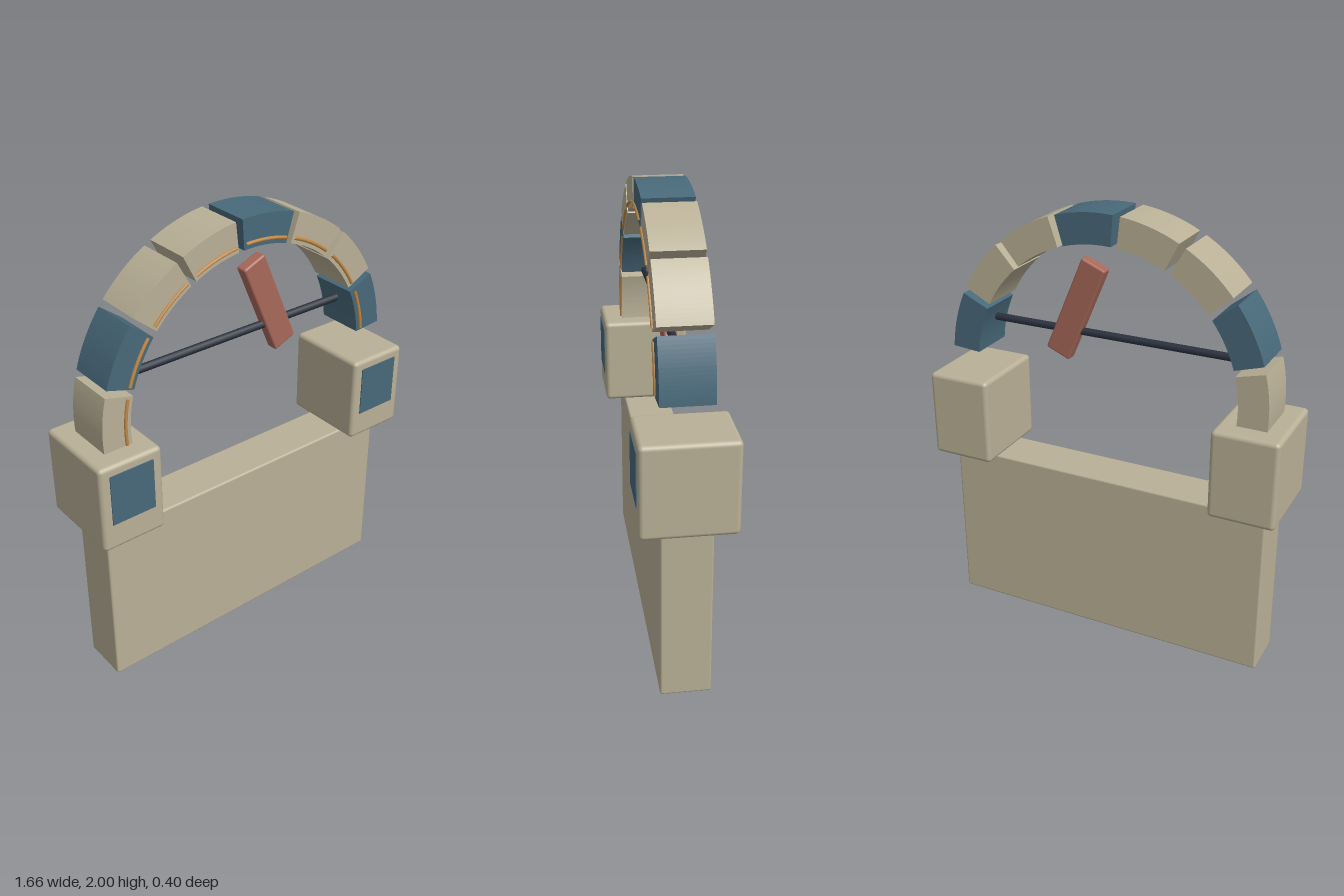
import * as THREE from 'three';
import { RoundedBoxGeometry } from 'three/addons/geometries/RoundedBoxGeometry.js';

const paint = (name, color) => {
  const m = new THREE.MeshStandardMaterial({ color });
  m.name = name;
  return m;
};

export function createModel() {
  const stone = paint('sandstone', 0xb9b096);
  const blue = paint('slate blue', 0x48697a);
  const red = paint('brick red', 0xa8685a);
  const gold = paint('gold', 0xc48a45);
  const navy = paint('dark navy', 0x2a313e);

  const model = new THREE.Group();
  model.name = 'brokenArch';
  const add = (name, geometry, material, x = 0, y = 0, z = 0, parent = model) => {
    const mesh = new THREE.Mesh(geometry, material);
    mesh.name = name;
    mesh.position.set(x, y, z);
    parent.add(mesh);
    return mesh;
  };

  // Base wall
  add('baseWall', new RoundedBoxGeometry(1.534, 0.788, 0.216, 2, 0.01), stone, 0, 0.394, 0);

  // Corner blocks with a front panel each
  for (const [side, name] of [[-1, 'right'], [1, 'left']]) {
    add(name + 'Block', new RoundedBoxGeometry(0.297, 0.402, 0.4, 3, 0.02), stone, side * 0.683, 0.99, 0);
    add(name + 'Panel', new THREE.BoxGeometry(0.206, 0.234, 0.008), blue, side * 0.683, 1.031, 0.2);
  }

  // Arch of separate wedge stones, each with a gold inlay on the front
  const arch = new THREE.Group();
  arch.name = 'arch';
  arch.position.y = 1.25;
  model.add(arch);
  const OUTER = 0.75, INNER = 0.618, HALF_DEPTH = 0.109;
  const rad = THREE.MathUtils.degToRad;
  for (let i = 0; i < 8; i++) {
    const start = rad(4.5 + 23 * i), sweep = rad(20.5), inset = rad(0.9);
    const shape = new THREE.Shape();
    shape.absarc(0, 0, OUTER, start, start + sweep, false);
    shape.absarc(0, 0, INNER, start + sweep, start, true);
    shape.closePath();
    const wedge = new THREE.ExtrudeGeometry(shape, {
      depth: 2 * HALF_DEPTH, bevelEnabled: false, curveSegments: 8,
    });
    add('archStone' + (i + 1), wedge, i % 3 === 0 ? blue : stone, 0, 0, -HALF_DEPTH, arch);

    const inlay = new THREE.TorusGeometry(0.642, 0.008, 6, 8, sweep - 2 * inset);
    add('inlay' + (i + 1), inlay, gold, 0, 0, HALF_DEPTH + 0.001, arch).rotation.z = start + inset;
  }

  // Crossbar and the tilted plank hung on it
  add('crossbar', new THREE.CylinderGeometry(0.018, 0.018, 1.166, 8), navy, -0.002, 1.44, 0).rotation.z = Math.PI / 2;
  add('plank', new RoundedBoxGeometry(0.12, 0.465, 0.056, 2, 0.01), red, 0.169, 1.54, 0).rotation.z = 0.4;

  return model;
}
